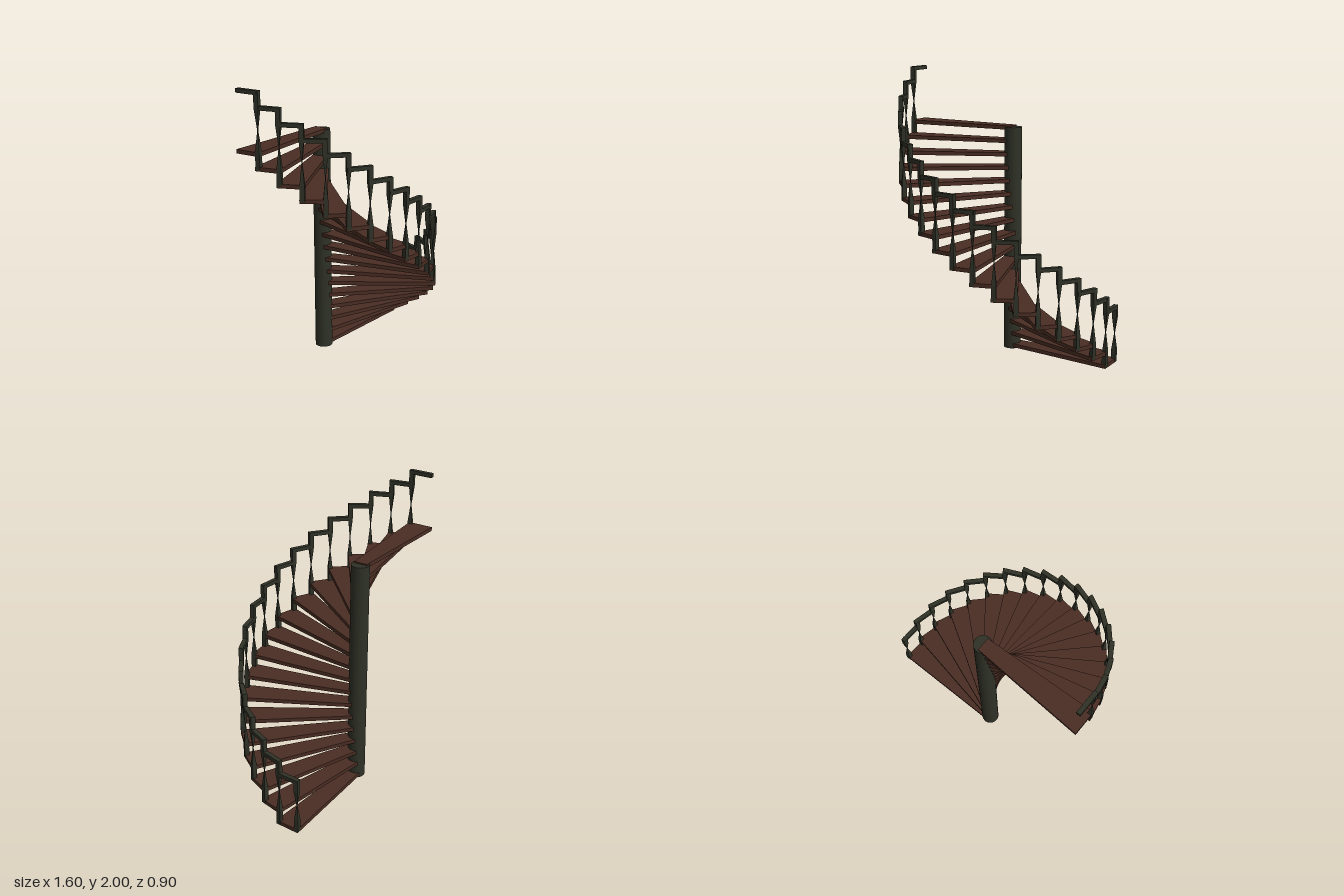
import * as THREE from 'three';

const STEPS = 18, RISE = 0.0928, TURN = THREE.MathUtils.degToRad(10.43);
const FIRST_STEP = THREE.MathUtils.degToRad(-0.5);
const FIRST_POST = THREE.MathUtils.degToRad(-6);
const RAIL_RADIUS = 0.785, BAR = 0.031;

// Square bar with a pinched waist, standing on y = 0
function balusterGeometry(height) {
  const r = BAR / Math.SQRT2;
  const profile = [[0, 0], [r, 0], [r, 0.22], [r * 0.15, 0.5], [r, 0.78], [r, 1], [0, 1]]
    .map(([x, t]) => new THREE.Vector2(x, t * height));
  const geo = new THREE.LatheGeometry(profile, 4, Math.PI / 4).toNonIndexed();
  geo.computeVertexNormals();
  return geo;
}

// Wedge-shaped tread running along +x, top at y = 0
function treadGeometry(thickness) {
  const shape = new THREE.Shape([
    new THREE.Vector2(0, -0.047), new THREE.Vector2(0.795, -0.0875),
    new THREE.Vector2(0.795, 0.0875), new THREE.Vector2(0, 0.047),
  ]);
  return new THREE.ExtrudeGeometry(shape, { depth: thickness, bevelEnabled: false }).rotateX(Math.PI / 2);
}

export function createModel() {
  const wood = new THREE.MeshStandardMaterial({ color: 0x4a2d23 });
  wood.name = 'dark wood';
  const iron = new THREE.MeshStandardMaterial({ color: 0x2f3227 });
  iron.name = 'dark iron';

  const model = new THREE.Group();
  model.name = 'spiralStaircase';
  const stair = new THREE.Group();
  stair.name = 'staircase';
  stair.position.z = -0.355;
  model.add(stair);

  const add = (name, geo, mat, x, y, z, turn = 0) => {
    const mesh = new THREE.Mesh(geo, mat);
    mesh.name = name;
    mesh.position.set(x, y, z);
    mesh.rotation.y = -turn;
    stair.add(mesh);
  };
  const onRail = (i) => {
    const a = FIRST_POST + i * TURN;
    return new THREE.Vector3(Math.cos(a) * RAIL_RADIUS, 0, Math.sin(a) * RAIL_RADIUS);
  };

  // Central column
  add('column', new THREE.CylinderGeometry(0.061, 0.061, 1.605, 32), iron, 0, 0.8025, 0);

  const tread = treadGeometry(0.027);
  const shortPost = balusterGeometry(0.405);
  const post = balusterGeometry(0.496);
  const chord = 2 * RAIL_RADIUS * Math.sin(TURN / 2);
  const railBar = new THREE.BoxGeometry(BAR, 0.027, chord + 0.02);

  for (let i = 0; i < STEPS; i++) {
    // Tread
    add('tread', tread, wood, 0, 0.037 + i * RISE, 0, FIRST_STEP + i * TURN);

    // Baluster rising from the tread below to this step's rail
    const railTop = 0.4205 + i * 0.0929;
    const p = onRail(i), height = i ? 0.496 : 0.405;
    add('baluster', i ? post : shortPost, iron, p.x, railTop - height, p.z, FIRST_POST + i * TURN);

    // Level handrail segment
    const mid = p.clone().add(onRail(i + 1)).multiplyScalar(0.5);
    add('handrail', railBar, iron, mid.x, railTop - 0.0135, mid.z, FIRST_POST + (i + 0.5) * TURN);
  }
  return model;
}
